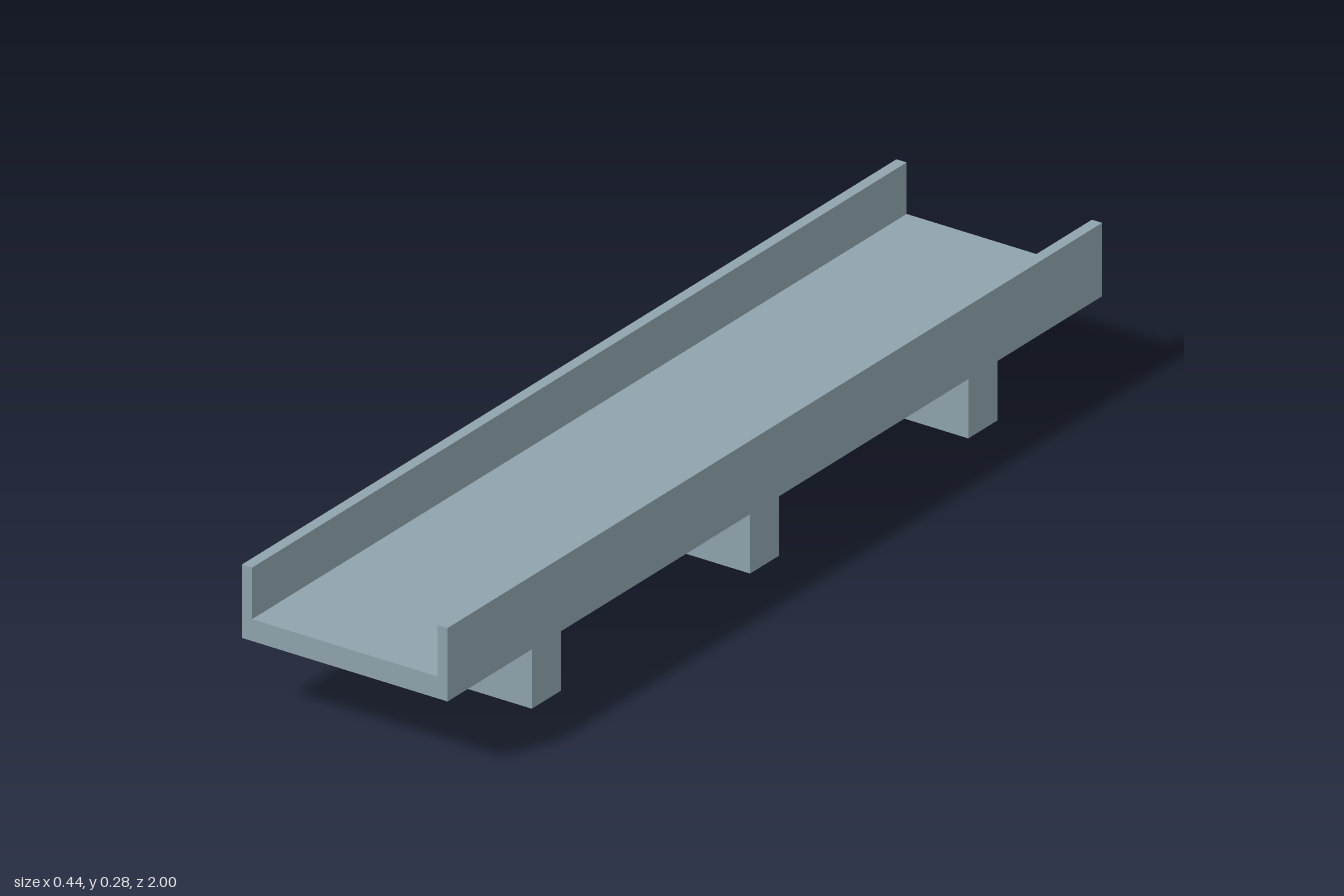
import * as THREE from 'three';

export function createModel() {
  const model = new THREE.Group();
  model.name = 'channelBridge';
  const blueGrey = new THREE.MeshStandardMaterial({ color: 0x90a4ae });
  blueGrey.name = 'blueGrey';

  const length = 2, outer = 0.222, inner = 0.2;
  const base = 0.135, floor = 0.178, top = 0.279;

  // U-shaped deck with side walls, extruded along z
  const profile = new THREE.Shape([
    [-outer, base], [outer, base], [outer, top], [inner, top],
    [inner, floor], [-inner, floor], [-inner, top], [-outer, top],
  ].map(([x, y]) => new THREE.Vector2(x, y)));
  const deckGeometry = new THREE.ExtrudeGeometry(profile, { depth: length, bevelEnabled: false });
  deckGeometry.translate(0, 0, -length / 2);
  const deck = new THREE.Mesh(deckGeometry, blueGrey);
  deck.name = 'deck';
  model.add(deck);

  // Three cross supports underneath
  const supportGeometry = new THREE.BoxGeometry(inner * 2, base, 0.089);
  [['frontSupport', 0.667], ['middleSupport', 0], ['backSupport', -0.667]].forEach(([name, z]) => {
    const support = new THREE.Mesh(supportGeometry, blueGrey);
    support.name = name;
    support.position.set(0, base / 2, z);
    model.add(support);
  });

  return model;
}
